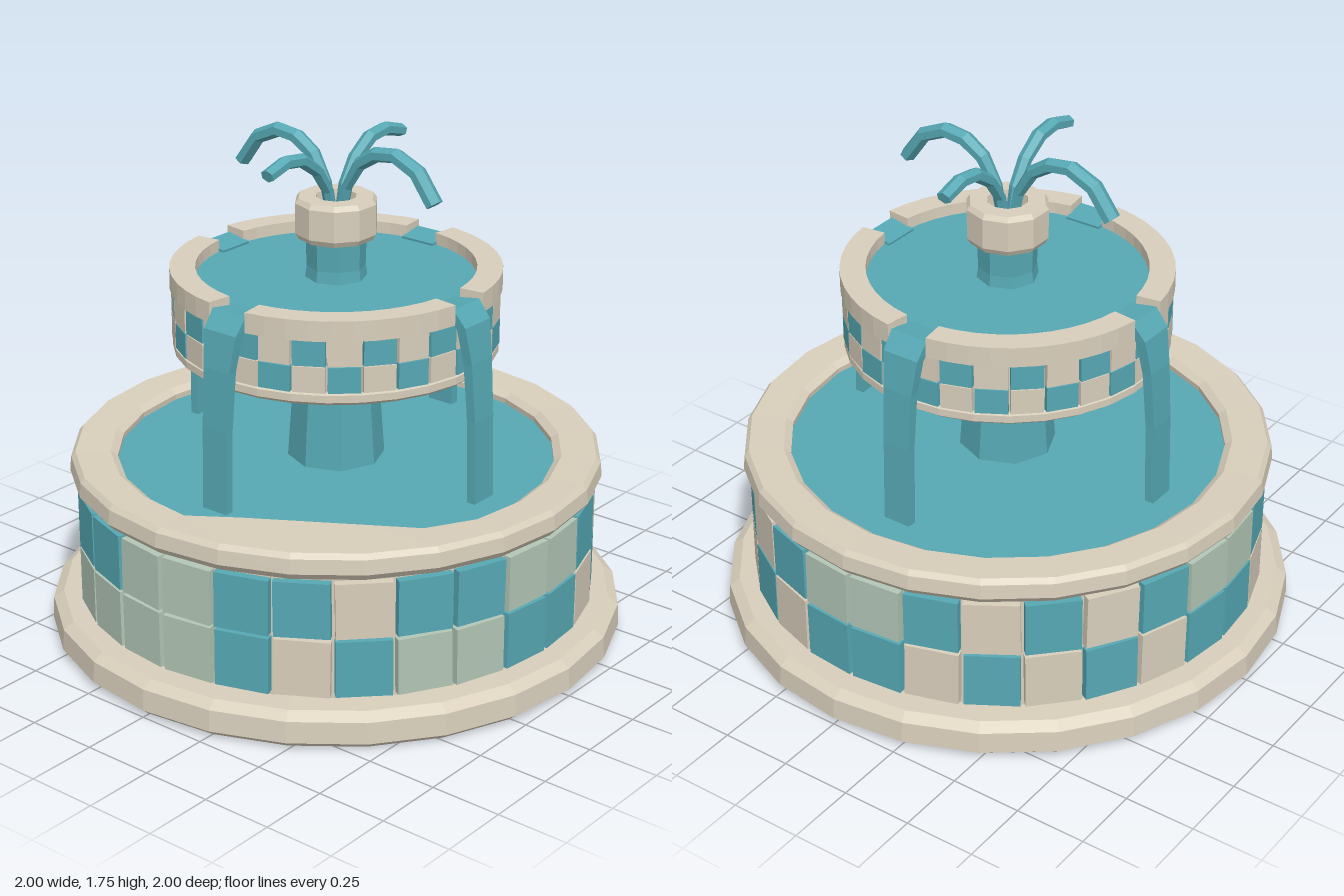
import * as THREE from 'three';

const stone = new THREE.MeshStandardMaterial({ color: 0xd8cebb });
const water = new THREE.MeshStandardMaterial({ color: 0x56a8b4 });
const sage = new THREE.MeshStandardMaterial({ color: 0xb2c6b6 });
stone.name = 'stone';
water.name = 'water';
sage.name = 'sage';

// Faceted normals
function flat(geo) {
  const g = geo.index ? geo.toNonIndexed() : geo;
  g.computeVertexNormals();
  return g;
}

function add(parent, name, geo, mat) {
  const mesh = new THREE.Mesh(flat(geo), mat);
  mesh.name = name;
  parent.add(mesh);
  return mesh;
}

const lathe = (pts, sides) => new THREE.LatheGeometry(pts.map(([r, y]) => new THREE.Vector2(r, y)), sides);

function disc(r, y, sides) {
  return new THREE.CircleGeometry(r, sides).rotateX(-Math.PI / 2).translate(0, y, 0);
}

// Solid strand along a path of [radius, height, halfWidth, halfThickness]
function strand(path, sides, turn = 0) {
  const rings = path.map(([r, y, w, t], i) => {
    const a = path[Math.max(i - 1, 0)], b = path[Math.min(i + 1, path.length - 1)];
    const dir = new THREE.Vector2(b[0] - a[0], b[1] - a[1]).normalize();
    return Array.from({ length: sides }, (_, j) => {
      const ang = turn + (j / sides) * Math.PI * 2;
      const n = Math.cos(ang) * t;
      return [r - dir.y * n, y + dir.x * n, Math.sin(ang) * w];
    });
  });
  const pos = [];
  const tri = (...pts) => pts.forEach((p) => pos.push(...p));
  const last = path.length - 1;
  for (let j = 0; j < sides; j++) {
    const k = (j + 1) % sides;
    for (let i = 0; i < last; i++) {
      tri(rings[i][j], rings[i][k], rings[i + 1][k]);
      tri(rings[i][j], rings[i + 1][k], rings[i + 1][j]);
    }
    tri([path[0][0], path[0][1], 0], rings[0][k], rings[0][j]);
    tri([path[last][0], path[last][1], 0], rings[last][j], rings[last][k]);
  }
  const g = new THREE.BufferGeometry();
  g.setAttribute('position', new THREE.Float32BufferAttribute(pos, 3));
  return g;
}

// Ring of slightly uneven tiles, one letter per tile counted from the front towards +x
function tileRow(parent, name, letters, radius, y, width, height, depth) {
  const mats = { T: water, B: stone, S: sage };
  const row = new THREE.Group();
  row.name = name;
  [...letters].forEach((c, i) => {
    const a = ((i + 0.5) / letters.length) * Math.PI * 2;
    const tile = add(row, 'tile', new THREE.BoxGeometry(width, height, depth), mats[c]);
    tile.position.set(Math.sin(a) * radius, y, Math.cos(a) * radius);
    tile.rotation.set(0, a + 0.02 * Math.sin(i * 5.3 + y), 0.015 * Math.sin(i * 7.7 + y * 9));
  });
  parent.add(row);
}

export function createModel() {
  const fountain = new THREE.Group();
  fountain.name = 'fountain';

  // Plinth and lower basin
  add(fountain, 'plinth', lathe([[0, 0], [0.97, 0], [1, 0.025], [0.995, 0.1], [0.96, 0.125], [0, 0.13]], 24), stone);
  add(fountain, 'basinWall', lathe([[0.872, 0.11], [0.872, 0.58]], 28), stone);
  const rim = lathe([[0.76, 0.56], [0.9, 0.56], [0.92, 0.585], [0.915, 0.635], [0.9, 0.652], [0.78, 0.648], [0.755, 0.63], [0.76, 0.56]], 24);
  // One stretch of the inner lip runs straight
  const p = rim.attributes.position;
  for (let i = 0; i < p.count; i++) {
    const x = p.getX(i), z = p.getZ(i);
    const over = x * 0.521 + z * 0.854 - 0.657;
    if (Math.hypot(x, z) < 0.8 && x > 0 && over > 0) {
      p.setX(i, x - over * 0.521);
      p.setZ(i, z - over * 0.854);
    }
  }
  add(fountain, 'basinRim', rim, stone);
  add(fountain, 'basinWater', disc(0.8, 0.61, 28), water);
  tileRow(fountain, 'upperBasinTiles', 'STTBTTSSTBTBTSSTBTBTSSTSSTTS', 0.873, 0.447, 0.186, 0.195, 0.045);
  tileRow(fountain, 'lowerBasinTiles', 'STBTSSTTBTBTBTTBTBTBTTBTTSSS', 0.873, 0.24, 0.186, 0.198, 0.045);

  // Column and cap
  add(fountain, 'column', lathe([[0.17, 0.58], [0.14, 1.0], [0.1, 1.3], [0.105, 1.46], [0, 1.46]], 8), water);
  add(fountain, 'cap', lathe([[0.06, 1.4], [0.13, 1.4], [0.142, 1.42], [0.142, 1.525], [0.13, 1.542], [0.07, 1.542], [0.06, 1.4]], 10), stone);

  // Upper bowl with its tiles
  add(fountain, 'bowl', lathe([[0, 1.005], [0.535, 1.005], [0.555, 1.02], [0.555, 1.045], [0.537, 1.05], [0.537, 1.24], [0, 1.24]], 30), stone);
  add(fountain, 'bowlWater', disc(0.5, 1.26, 24), water);
  const top = 'TBTBTBTBTBTBTBTBTBTBTBTBTSSBTB';
  const bottom = 'BTBTBTBTBTBTBTBTBTBTBTBTBTBTBT';
  tileRow(fountain, 'upperBowlTiles', top, 0.539, 1.188, 0.108, 0.088, 0.03);
  tileRow(fountain, 'lowerBowlTiles', bottom, 0.539, 1.097, 0.108, 0.088, 0.03);

  // Four rim arcs, leaving a spout gap at each quarter
  const gap = 0.135;
  const arc = new THREE.Shape();
  arc.absarc(0, 0, 0.562, gap, Math.PI / 2 - gap, false);
  arc.absarc(0, 0, 0.475, Math.PI / 2 - gap, gap, true);
  const arcGeo = new THREE.ExtrudeGeometry(arc, { depth: 0.07, bevelEnabled: false, curveSegments: 5 });
  arcGeo.rotateX(-Math.PI / 2).translate(0, 1.232, 0);

  // Falling streams and top jets
  const fall = [[0.45, 1.25, 0.095, 0.026], [0.54, 1.262, 0.1, 0.028], [0.575, 1.22, 0.095, 0.025],
    [0.595, 1.1, 0.078, 0.024], [0.61, 0.9, 0.072, 0.023], [0.617, 0.6, 0.072, 0.023]];
  const longJet = [[0.015, 1.44, 0.02, 0.018], [0.045, 1.58, 0.022, 0.02], [0.1, 1.67, 0.028, 0.024],
    [0.17, 1.715, 0.03, 0.026], [0.25, 1.725, 0.032, 0.026], [0.34, 1.685, 0.034, 0.026], [0.41, 1.59, 0.034, 0.026]];
  const shortJet = [[0.015, 1.44, 0.02, 0.018], [0.045, 1.57, 0.022, 0.02], [0.1, 1.65, 0.025, 0.022],
    [0.18, 1.705, 0.027, 0.024], [0.26, 1.715, 0.027, 0.024], [0.35, 1.69, 0.027, 0.022]];
  for (let i = 0; i < 4; i++) {
    const quarter = new THREE.Group();
    quarter.name = 'quarter' + (i + 1);
    quarter.rotation.y = (i * Math.PI) / 2;
    add(quarter, 'bowlRim', arcGeo.clone(), stone);
    add(quarter, 'fallingStream', strand(fall, 4, Math.PI / 4), water);
    add(quarter, 'waterJet', strand(i % 2 ? shortJet : longJet, 6), water);
    fountain.add(quarter);
  }
  return fountain;
}
